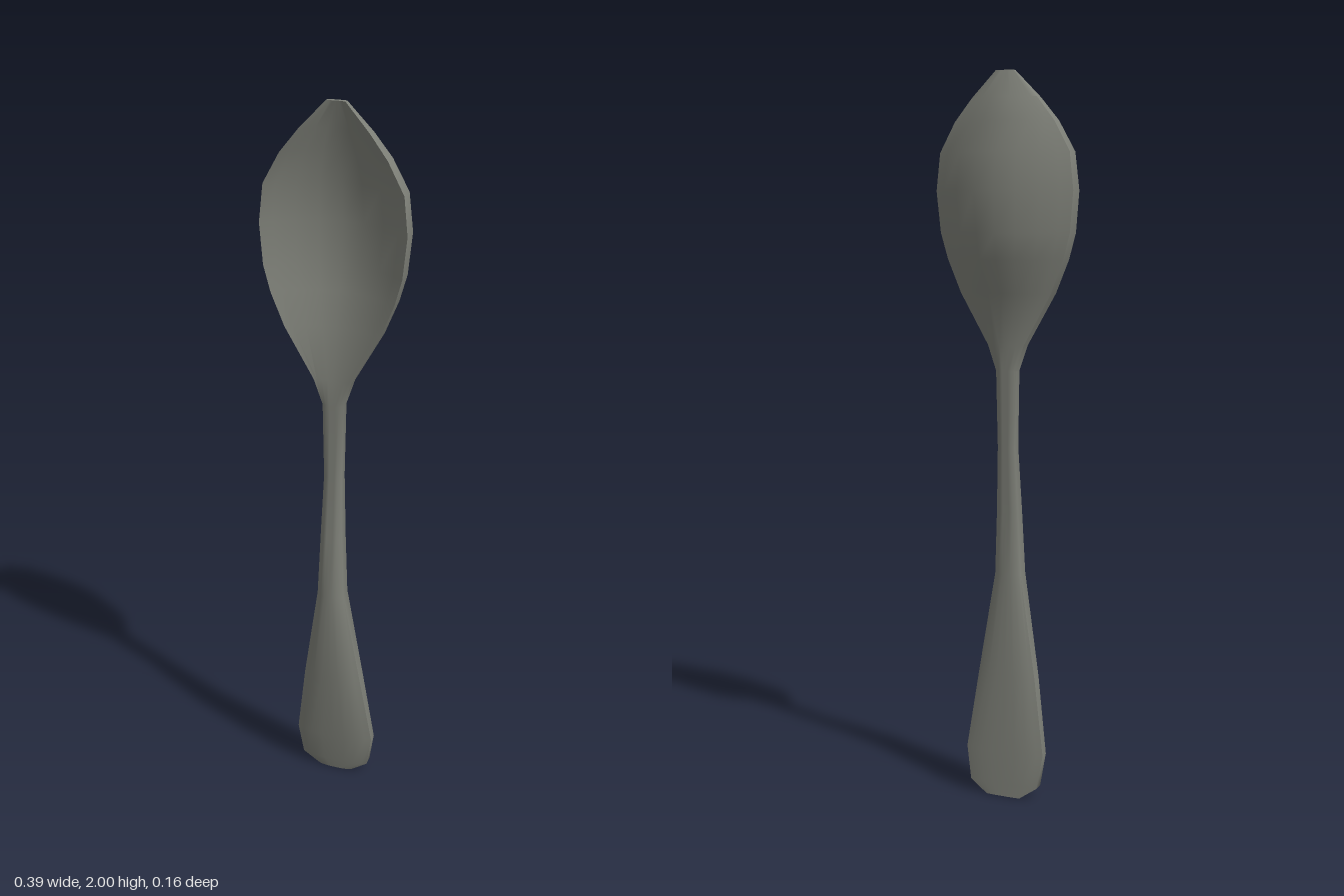
import * as THREE from 'three';
import { toCreasedNormals } from 'three/addons/utils/BufferGeometryUtils.js';

// Cross-sections from handle end to bowl tip:
// y, half width, rim front z, rim back z, centre front z, centre back z, roundness
const SECTIONS = [
  [0.00, 0.05, 0.020, -0.013, 0.026, -0.015, 3],
  [0.035, 0.10, 0.022, -0.008, 0.033, -0.014, 3],
  [0.13, 0.115, 0.026, 0.000, 0.045, -0.012, 3],
  [0.35, 0.084, 0.046, 0.014, 0.070, 0.000, 3],
  [0.64, 0.038, 0.060, 0.024, 0.081, 0.009, 3],
  [0.82, 0.031, 0.052, 0.020, 0.068, 0.009, 3],
  [1.00, 0.025, 0.038, 0.012, 0.048, 0.003, 3],
  [1.21, 0.029, 0.036, 0.010, 0.042, 0.001, 3],
  [1.28, 0.052, 0.040, 0.008, 0.034, -0.001, 2],
  [1.42, 0.130, 0.045, 0.004, 0.008, -0.020, 1.8],
  [1.51, 0.166, 0.046, 0.000, -0.020, -0.062, 1.8],
  [1.58, 0.185, 0.045, -0.003, -0.033, -0.070, 1.8],
  [1.69, 0.195, 0.041, -0.007, -0.044, -0.081, 1.8],
  [1.79, 0.184, 0.038, -0.006, -0.036, -0.064, 1.8],
  [1.87, 0.140, 0.034, -0.006, -0.022, -0.048, 1.8],
  [1.93, 0.092, 0.026, -0.004, -0.008, -0.034, 1.8],
  [2.00, 0.025, 0.014, 0.000, 0.010, -0.002, 2],
];
const ACROSS = [-1, -0.85, -0.6, -0.3, 0, 0.3, 0.6, 0.85, 1];

// Closed loop: along the front face, then back along the rear face
function ring([y, w, rimF, rimB, midF, midB, power]) {
  const face = (u, mid, rim) => [u * w, y, mid + (rim - mid) * Math.abs(u) ** power];
  return [
    ...ACROSS.map(u => face(u, midF, rimF)),
    ...ACROSS.map(u => face(-u, midB, rimB)),
  ];
}

function loft(sections) {
  const n = ACROSS.length * 2;
  const index = [];
  for (let r = 0; r < sections.length - 1; r++) {
    for (let i = 0; i < n; i++) {
      const a = r * n + i, b = r * n + (i + 1) % n;
      index.push(a, b, b + n, a, b + n, a + n);
    }
  }
  // End caps, stitched between the front and rear faces
  const top = (sections.length - 1) * n;
  for (let i = 0; i < ACROSS.length - 1; i++) {
    const a = i, b = i + 1, c = n - 2 - i, d = n - 1 - i;
    index.push(a, c, b, a, d, c);
    index.push(top + a, top + b, top + c, top + a, top + c, top + d);
  }
  const geometry = new THREE.BufferGeometry();
  geometry.setAttribute('position', new THREE.Float32BufferAttribute(sections.flatMap(ring).flat(), 3));
  geometry.setIndex(index);
  return toCreasedNormals(geometry, 0.9);
}

export function createModel() {
  const group = new THREE.Group();
  group.name = 'spoon';
  const metal = new THREE.MeshStandardMaterial({ color: 0x7e8078 });
  // Handle and bowl form one continuous skin
  const body = new THREE.Mesh(loft(SECTIONS), metal);
  body.name = 'handleAndBowl';
  group.add(body);
  return group;
}
